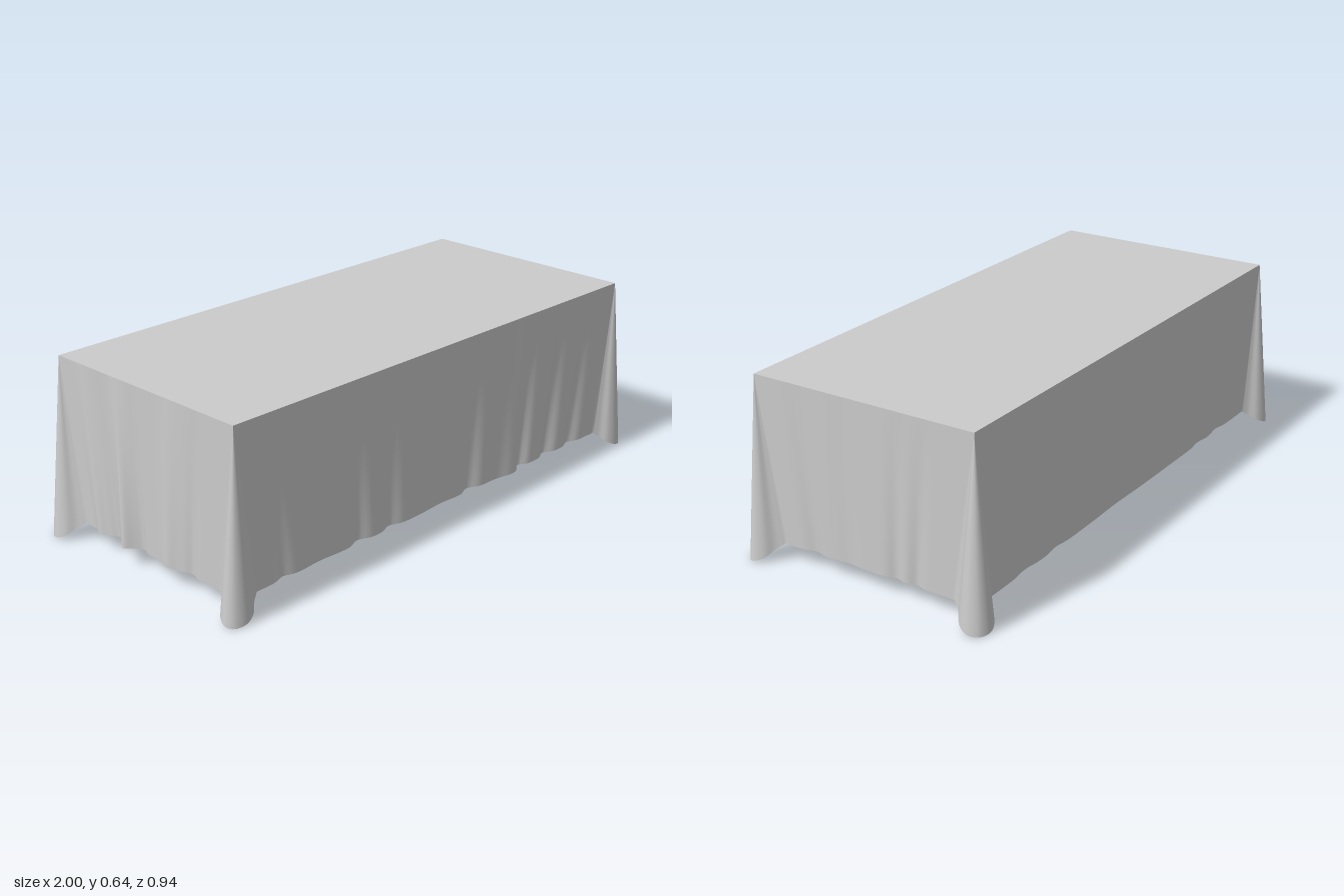
import * as THREE from 'three';

const HEIGHT = 0.64, HEM = 0.065, HALF_X = 0.94, FRONT = 0.427, BACK = -0.415;
const ROWS = 16, SIDE_COLUMNS = 140, LOBE_COLUMNS = 36;

// Hem of one corner drape: [outward x, y, outward z] measured from the table corner
const lobe = new THREE.CatmullRomCurve3([
  [-0.078, 0.065, -0.004], [-0.055, 0.045, 0.013], [-0.03, 0.022, 0.043],
  [0.008, 0.006, 0.056], [0.045, 0, 0.04], [0.06, 0.004, 0.004],
  [0.047, 0.018, -0.032], [0.016, 0.045, -0.058], [-0.003, 0.065, -0.085],
].map((p) => new THREE.Vector3(...p)));

// Folds along each side: [position along x or z, width, depth outward]
const folds = {
  front: [[-0.74, 0.03, -0.015], [-0.58, 0.06, -0.006], [-0.4, 0.035, -0.02], [-0.25, 0.035, -0.018],
    [0.0, 0.08, -0.008], [0.15, 0.035, -0.022], [0.36, 0.05, 0.014], [0.43, 0.025, -0.022],
    [0.58, 0.03, -0.022], [0.72, 0.03, -0.018]],
  left: [[0.22, 0.03, -0.012], [0.08, 0.04, -0.006], [-0.1, 0.025, -0.012], [-0.18, 0.025, -0.012]],
  back: [[0.66, 0.05, -0.008], [0.48, 0.04, -0.008], [0.1, 0.12, -0.004], [-0.5, 0.04, -0.008], [-0.65, 0.04, -0.01]],
  right: [[-0.24, 0.025, 0.016], [-0.17, 0.02, -0.012], [-0.1, 0.025, 0.03], [-0.04, 0.02, -0.012],
    [0.1, 0.035, 0.016], [0.2, 0.025, -0.012]],
};

const foldDepth = (list, s) => list.reduce((sum, [at, width, depth]) =>
  sum + depth * Math.exp(-(((s - at) / width) ** 2)), -0.004);

function createSkirt() {
  const columns = []; // pairs of top edge point and hem point

  // Straight side from one drape to the next
  const addSide = (list, from, to, inset, place) => {
    const dir = Math.sign(to - from);
    for (let i = 0; i < SIDE_COLUMNS; i++) {
      const k = i / SIDE_COLUMNS;
      const hemS = THREE.MathUtils.lerp(from + dir * inset, to - dir * inset, k);
      const topS = THREE.MathUtils.lerp(from, to, k);
      columns.push([place(topS, 0, HEIGHT), place(hemS, foldDepth(list, hemS), HEM)]);
    }
  };

  // Cone-like drape falling from a corner
  const addCorner = (sx, sz, reversed) => {
    const z = sz > 0 ? FRONT : BACK;
    for (let i = 0; i < LOBE_COLUMNS; i++) {
      const k = i / LOBE_COLUMNS;
      const p = lobe.getPoint(reversed ? 1 - k : k);
      const dz = sz > 0 && p.z > 0 ? p.z * 0.77 : p.z;
      columns.push([
        new THREE.Vector3(sx * HALF_X, HEIGHT, z),
        new THREE.Vector3(sx * (HALF_X + p.x), Math.max(0, p.y), z + sz * dz),
      ]);
    }
  };

  addSide(folds.front, -HALF_X, HALF_X, 0.078, (s, d, y) => new THREE.Vector3(s, y, FRONT + d));
  addCorner(1, 1, false);
  addSide(folds.left, FRONT, BACK, 0.085, (s, d, y) => new THREE.Vector3(HALF_X + d, y, s));
  addCorner(1, -1, true);
  addSide(folds.back, HALF_X, -HALF_X, 0.078, (s, d, y) => new THREE.Vector3(s, y, BACK - d));
  addCorner(-1, -1, false);
  addSide(folds.right, BACK, FRONT, 0.085, (s, d, y) => new THREE.Vector3(-HALF_X - d, y, s));
  addCorner(-1, 1, true);

  const positions = [], index = [], n = columns.length;
  for (let r = 0; r <= ROWS; r++) {
    for (const [top, hem] of columns) {
      positions.push(...top.clone().lerp(hem, r / ROWS).toArray());
    }
  }
  for (let r = 0; r < ROWS; r++) {
    for (let c = 0; c < n; c++) {
      const a = r * n + c, b = r * n + (c + 1) % n;
      index.push(a, a + n, b, b, a + n, b + n);
    }
  }
  const geometry = new THREE.BufferGeometry();
  geometry.setAttribute('position', new THREE.Float32BufferAttribute(positions, 3));
  geometry.setIndex(index);
  geometry.computeVertexNormals();
  return geometry;
}

export function createModel() {
  const group = new THREE.Group();
  group.name = 'tablecloth';
  const cloth = new THREE.MeshStandardMaterial({ color: 0xcccccc, side: THREE.DoubleSide });

  // Flat cloth over the table top
  const top = new THREE.Mesh(new THREE.PlaneGeometry(HALF_X * 2, FRONT - BACK), cloth);
  top.name = 'clothTop';
  top.rotation.x = -Math.PI / 2;
  top.position.set(0, HEIGHT, (FRONT + BACK) / 2);
  group.add(top);

  // Hanging cloth with folds and corner drapes
  const skirt = new THREE.Mesh(createSkirt(), cloth);
  skirt.name = 'clothSkirt';
  group.add(skirt);

  return group;
}
